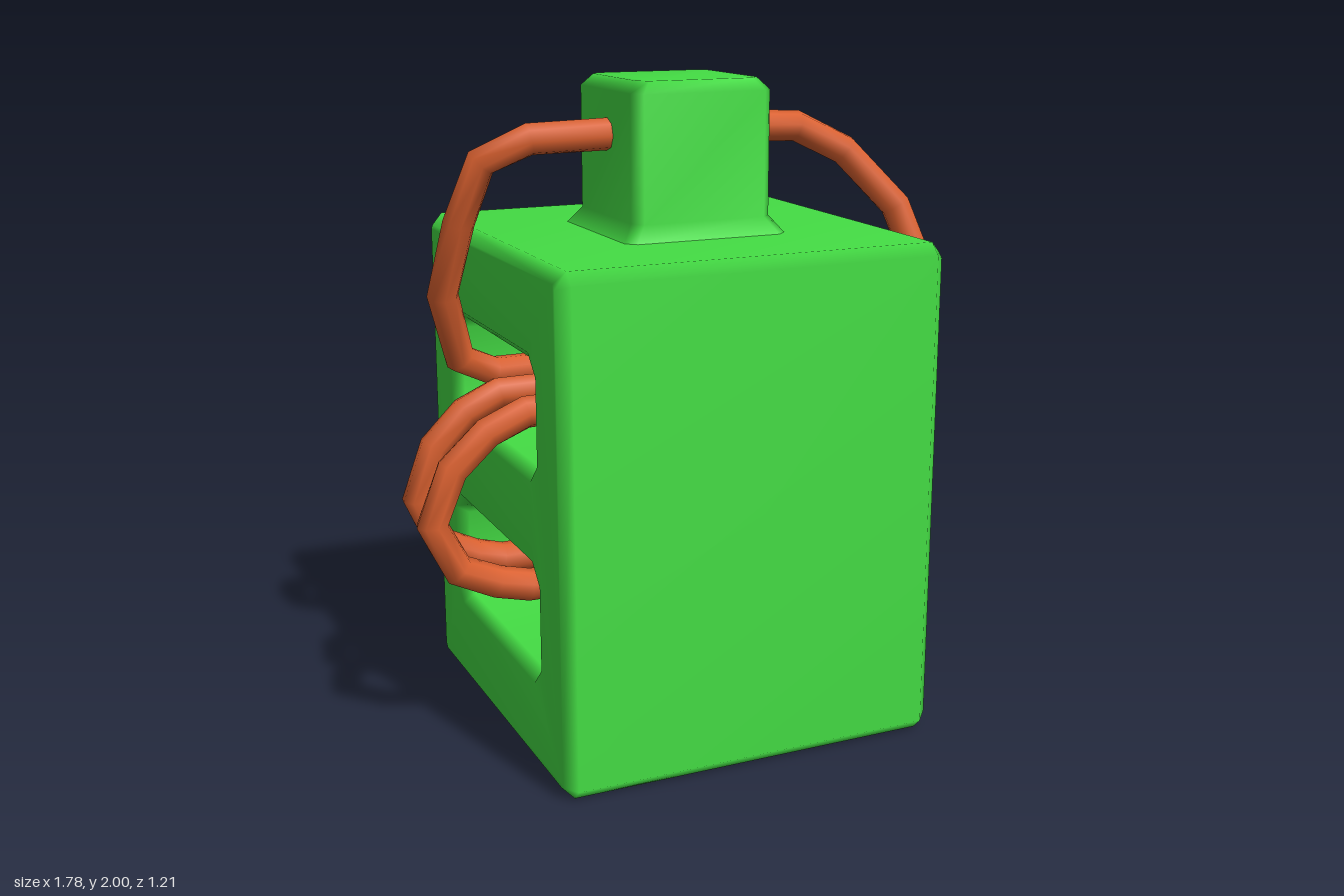
import * as THREE from 'three';
import { mergeVertices } from 'three/addons/utils/BufferGeometryUtils.js';

// Corners of a rectangle with cut corners, counter-clockwise
function cutRect(x0, y0, x1, y1, c) {
  return [
    [x0 + c, y0], [x1 - c, y0], [x1, y0 + c], [x1, y1 - c],
    [x1 - c, y1], [x0 + c, y1], [x0, y1 - c], [x0, y0 + c],
  ].map(([x, y]) => new THREE.Vector2(x, y));
}

// Weld the corners so the shading runs smoothly over the bevels
function smooth(geometry) {
  geometry.deleteAttribute('normal');
  geometry.deleteAttribute('uv');
  const welded = mergeVertices(geometry, 1e-4);
  welded.computeVertexNormals();
  return welded;
}

// Block with two windows running through from side to side
function bodyGeometry() {
  const bevel = 0.035;
  const shape = new THREE.Shape(cutRect(-0.605, 0, 0.605, 1.54, bevel));
  for (const [y0, y1] of [[0.31, 0.62], [0.93, 1.24]]) {
    shape.holes.push(new THREE.Path(cutRect(-0.37, y0, 0.37, y1, 0.04).reverse()));
  }
  const depth = 1.21 - 2 * bevel;
  const geometry = new THREE.ExtrudeGeometry(shape, {
    depth, bevelEnabled: true, bevelSegments: 1,
    bevelSize: bevel, bevelThickness: bevel, bevelOffset: -bevel,
  });
  geometry.translate(0, 0, -depth / 2);
  geometry.rotateY(Math.PI / 2);
  return smooth(geometry);
}

// Square neck lofted from rings of [half width, height], flared at the foot
function neckGeometry() {
  const rings = [[0.265, 1.535], [0.225, 1.59], [0.225, 1.965], [0.195, 2.0]];
  const positions = [], index = [];
  for (const [h, y] of rings) {
    for (const p of cutRect(-h, -h, h, h, 0.03)) positions.push(p.x, y, -p.y);
  }
  for (let r = 0; r < rings.length - 1; r++) {
    for (let i = 0; i < 8; i++) {
      const a = r * 8 + i, b = r * 8 + (i + 1) % 8;
      index.push(a, b, b + 8, a, b + 8, a + 8);
    }
  }
  const top = (rings.length - 1) * 8;
  for (let i = 1; i < 7; i++) index.push(top, top + i, top + i + 1);
  const geometry = new THREE.BufferGeometry();
  geometry.setAttribute('position', new THREE.Float32BufferAttribute(positions, 3));
  geometry.setIndex(index);
  geometry.computeVertexNormals();
  return geometry;
}

// One loop of cord beside the body; z drifts with height from zTop to zBottom
function loop(profile, zTop, zBottom, scale = 1) {
  const yTop = profile[0][1], yBottom = profile[profile.length - 1][1];
  return profile.map(([x, y]) => {
    const t = (yTop - y) / (yTop - yBottom);
    const out = Math.sign(x) * (0.55 + (Math.abs(x) - 0.55) * scale);
    return new THREE.Vector3(out, y, zTop + (zBottom - zTop) * t);
  });
}

// Closed cord: out of the neck, twice around the crossbar, back into the neck
function cordGeometry() {
  const v = (x, y, z) => new THREE.Vector3(x, y, z);
  const leftCoil = [[0.55, 1.07], [0.65, 1.045], [0.77, 0.99], [0.845, 0.87],
    [0.835, 0.74], [0.76, 0.61], [0.65, 0.535], [0.55, 0.5]];
  const rightCoil = [[-0.55, 1.05], [-0.67, 1.0], [-0.78, 0.9], [-0.845, 0.74],
    [-0.77, 0.59], [-0.65, 0.535], [-0.55, 0.51]];
  const points = [
    v(0, 1.835, 0), v(-0.2, 1.835, 0.015), v(-0.47, 1.83, 0.015), v(-0.605, 1.765, -0.03),
    v(-0.66, 1.58, -0.09), v(-0.69, 1.35, -0.18), v(-0.62, 1.13, -0.25), v(-0.5, 1.07, -0.28),
    ...loop(leftCoil, -0.28, -0.1),
    ...loop(rightCoil, -0.09, -0.1, 0.9).reverse(),
    ...loop(leftCoil, -0.05, 0.16, 0.95),
    ...loop(rightCoil, 0.16, 0.16).reverse(),
    v(0.55, 1.08, 0.2), v(0.77, 1.16, 0.17), v(0.83, 1.34, 0.125), v(0.755, 1.57, 0.06),
    v(0.59, 1.75, 0.005), v(0.43, 1.83, -0.02), v(0.2, 1.84, -0.02),
  ];
  const curve = new THREE.CatmullRomCurve3(points, true);
  curve.getUtoTmapping = (u) => u; // one ring per point keeps the bends faceted
  return new THREE.TubeGeometry(curve, points.length, 0.049, 8, true);
}

export function createModel() {
  const group = new THREE.Group();
  const green = new THREE.MeshStandardMaterial({ color: 0x44dd44 });
  const orange = new THREE.MeshStandardMaterial({ color: 0xd9602f });
  const add = (name, geometry, material) => {
    const mesh = new THREE.Mesh(geometry, material);
    mesh.name = name;
    group.add(mesh);
  };
  add('body', bodyGeometry(), green);
  add('neck', neckGeometry(), green);
  add('cord', cordGeometry(), orange);
  return group;
}
